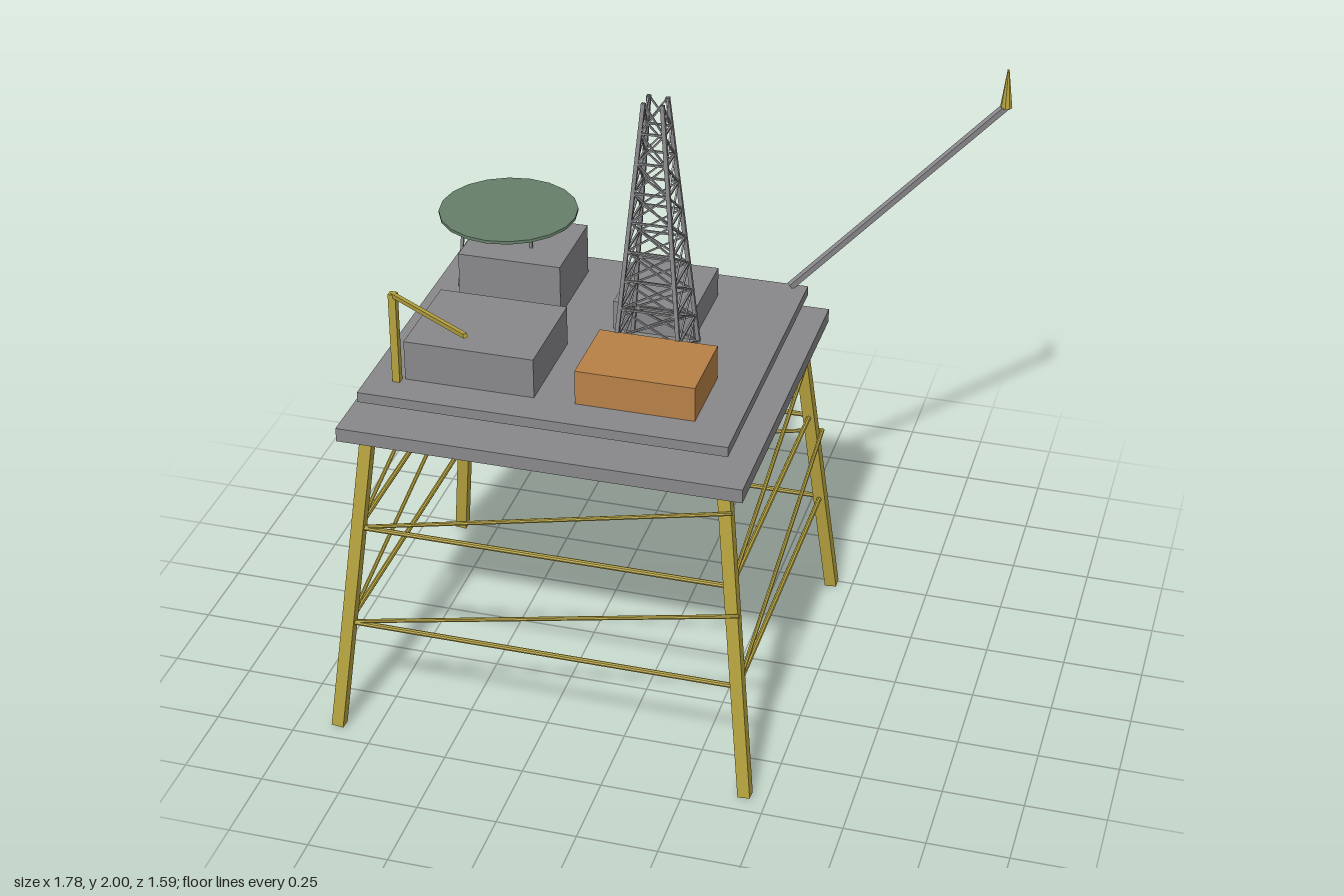
import * as THREE from 'three';

const mat = (name, color) => {
  const m = new THREE.MeshStandardMaterial({ color });
  m.name = name;
  return m;
};

export function createModel() {
  const grey = mat('deck grey', 0x88888b);
  const yellow = mat('structural yellow', 0xb5a23e);
  const orange = mat('container orange', 0xb88047);
  const green = mat('helipad green', 0x667f69);

  const root = new THREE.Group();
  root.name = 'offshorePlatform';
  const V = (x, y, z) => new THREE.Vector3(x, y, z);
  const UP = V(0, 1, 0);

  const add = (parent, name, geo, material) => {
    const m = new THREE.Mesh(geo, material);
    m.name = name;
    parent.add(m);
    return m;
  };
  const group = (name) => {
    const g = new THREE.Group();
    g.name = name;
    root.add(g);
    return g;
  };
  const faceted = (geo) => {
    const g = geo.toNonIndexed();
    g.computeVertexNormals();
    return g;
  };
  // Box given by its limits on each axis
  const block = (name, x0, x1, y0, y1, z0, z1, material) =>
    add(root, name, new THREE.BoxGeometry(x1 - x0, y1 - y0, z1 - z0), material)
      .position.set((x0 + x1) / 2, (y0 + y1) / 2, (z0 + z1) / 2);
  // Place an upright part so that it spans two points
  const span = (mesh, a, b) => {
    mesh.position.copy(a).add(b).multiplyScalar(0.5);
    mesh.quaternion.setFromUnitVectors(UP, b.clone().sub(a).normalize());
  };
  // Upright square post between two points
  const post = (parent, name, a, b, w, material) =>
    span(add(parent, name, new THREE.BoxGeometry(w, a.distanceTo(b), w), material), a, b);
  // Eight-sided tube between two points
  const tube = (parent, name, a, b, r, material) =>
    span(add(parent, name, faceted(new THREE.CylinderGeometry(r, r, a.distanceTo(b), 8)), material), a, b);
  // Square beam between two points, its side faces kept vertical
  const beam = (parent, name, a, b, w, material) => {
    const m = add(parent, name, new THREE.BoxGeometry(w, w, a.distanceTo(b)), material);
    m.position.copy(a).add(b).multiplyScalar(0.5);
    m.lookAt(b);
  };

  // Decks
  const DECK = 1.165;
  block('lowerDeck', -0.835, 0.4, 1.018, 1.062, -0.45, 0.64, grey);
  block('upperDeck', -0.781, 0.343, 1.133, DECK, -0.395, 0.59, grey);

  // Splayed legs: corner position at height y
  const corners = [[-1, 1], [1, 1], [1, -1], [-1, -1]];
  const legAt = ([sx, sz], y, atY = y) => {
    const t = y / 1.03;
    return V(-0.219 + sx * (0.652 - 0.108 * t), atY, 0.1 + sz * (0.582 - 0.124 * t));
  };
  const jacket = group('jacket');
  corners.forEach((c) => post(jacket, 'leg', legAt(c, 0.003), legAt(c, 1.03), 0.038, yellow));

  // Horizontal and diagonal braces on all four sides
  const sides = [[0, 1], [3, 2], [1, 2], [0, 3]];
  for (const y of [0.368, 0.695]) {
    for (const [i, j] of sides) {
      tube(jacket, 'horizontalBrace', legAt(corners[i], y), legAt(corners[j], y), 0.008, yellow);
      tube(jacket, 'diagonalBrace', legAt(corners[i], y), legAt(corners[j], y, y + 0.254), 0.0065, yellow);
    }
  }

  // Deck modules
  block('crewModule', -0.671, -0.272, DECK, 1.292, 0.15, 0.478, grey);
  block('helipadModule', -0.671, -0.345, DECK, 1.33, -0.3, -0.012, grey);
  block('machineryModule', -0.165, 0.087, DECK, 1.26, -0.265, 0.025, grey);
  block('orangeContainer', -0.147, 0.215, DECK, 1.275, 0.225, 0.478, orange);

  // Helipad on three slanted posts
  const helipad = group('helipad');
  add(helipad, 'landingPad', new THREE.CylinderGeometry(0.217, 0.217, 0.01, 20), green)
    .position.set(-0.58, 1.383, -0.232);
  for (const [x, z, dx, dz] of [[-0.58, -0.34, 0, -0.015], [-0.688, -0.115, -0.016, 0.008], [-0.472, -0.115, 0.016, 0.008]]) {
    post(helipad, 'padPost', V(x + dx, DECK, z + dz), V(x, 1.38, z), 0.009, grey);
  }

  // Tapered lattice derrick
  const derrick = group('derrick');
  const LEVELS = 9;
  const node = ([sx, sz], i) => {
    const t = i / LEVELS;
    const r = 0.103 - 0.075 * t;
    return V(sx * r, DECK + t * (1.998 - DECK), 0.131 + sz * r);
  };
  corners.forEach((c, k) => {
    const n = corners[(k + 1) % 4];
    post(derrick, 'derrickPost', node(c, 0), node(c, LEVELS), 0.012, grey);
    for (let i = 0; i < LEVELS; i++) {
      beam(derrick, 'crossBrace', node(c, i), node(n, i + 1), 0.005, grey);
      beam(derrick, 'crossBrace', node(n, i), node(c, i + 1), 0.005, grey);
      if (i) beam(derrick, 'girt', node(c, i), node(n, i), 0.006, grey);
    }
  });

  // Deck crane
  const crane = group('crane');
  post(crane, 'craneColumn', V(-0.691, DECK, 0.491), V(-0.691, 1.458, 0.491), 0.023, yellow);
  beam(crane, 'craneBoom', V(-0.691, 1.453, 0.491), V(-0.363, 1.53, 0.787), 0.013, yellow);

  // Flare boom with conical tip
  const flare = group('flare');
  beam(flare, 'flareBoom', V(0.29, 1.168, -0.375), V(0.87, 1.678, -0.775), 0.019, grey);
  add(flare, 'flareTip', faceted(new THREE.CylinderGeometry(0.003, 0.019, 0.127, 8)), yellow)
    .position.set(0.87, 1.738, -0.775);

  return root;
}
